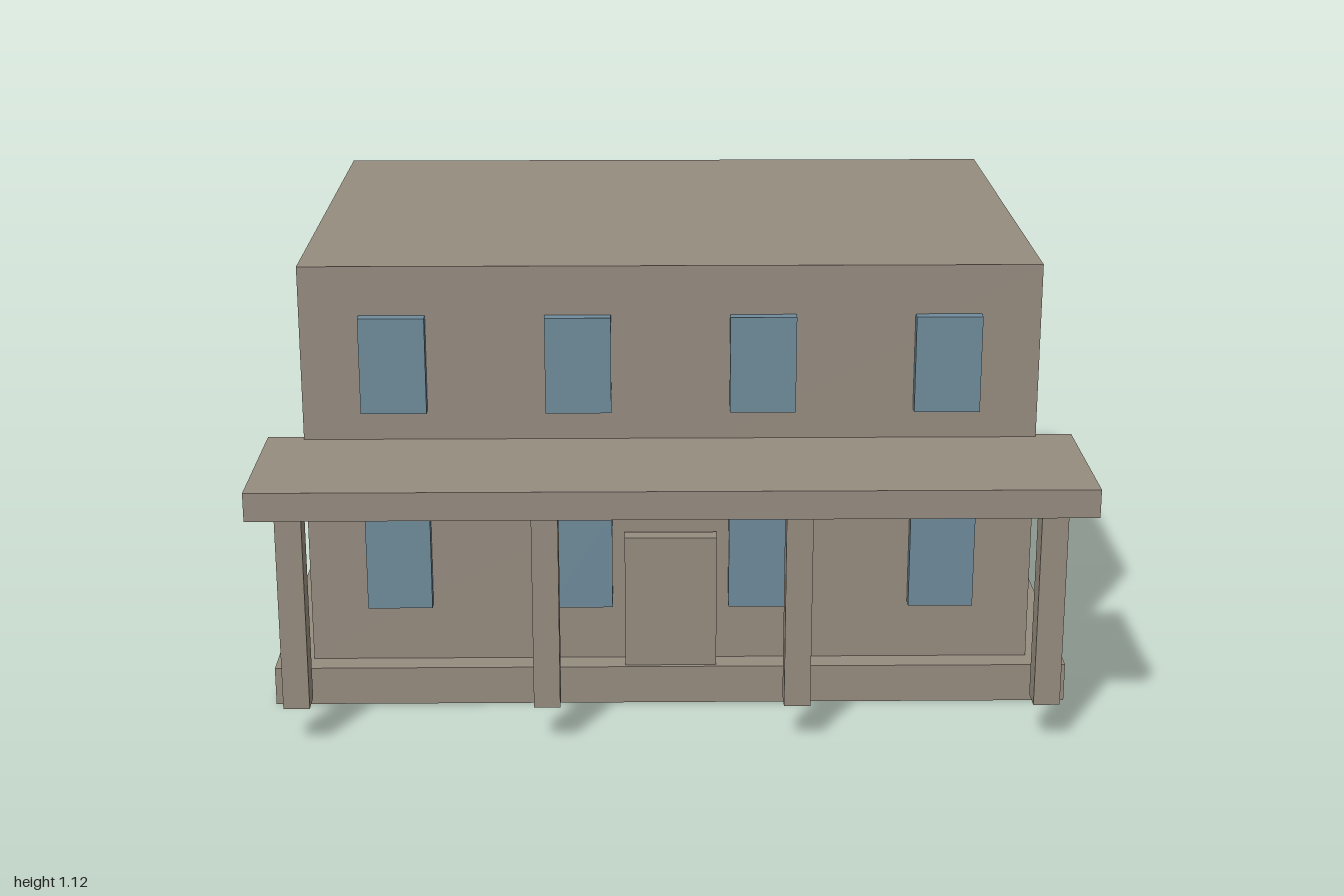
import * as THREE from 'three';

export function createModel() {
  const model = new THREE.Group();
  model.name = 'house';

  const stone = new THREE.MeshStandardMaterial({ color: 0x968c80 });
  stone.name = 'warm grey stone';
  const glass = new THREE.MeshStandardMaterial({ color: 0x6f8b9b });
  glass.name = 'blue grey glass';

  // Box given by its lower and upper limits on each axis
  function block(name, material, [x0, x1], [y0, y1], [z0, z1]) {
    const mesh = new THREE.Mesh(new THREE.BoxGeometry(x1 - x0, y1 - y0, z1 - z0), material);
    mesh.position.set((x0 + x1) / 2, (y0 + y1) / 2, (z0 + z1) / 2);
    mesh.name = name;
    model.add(mesh);
  }

  // Plinth, main body, porch roof and door
  block('foundation', stone, [-1, 1], [0, 0.098], [-0.876, 0.535]);
  block('walls', stone, [-0.908, 0.908], [0.098, 1.125], [-0.813, 0.472]);
  block('porchRoof', stone, [-1, 1], [0.615, 0.685], [0.451, 0.876]);
  block('door', stone, [-0.115, 0.115], [0.098, 0.44], [0.48, 0.524]);

  // Four square porch posts
  for (const x of [-0.912, -0.304, 0.304, 0.912]) {
    block('porchPost', stone, [x - 0.032, x + 0.032], [0.1, 0.615], [0.722, 0.787]);
  }

  // Two rows of four windows, front and back
  for (const x of [-0.681, -0.227, 0.227, 0.681]) {
    for (const y of [0.247, 0.76]) {
      const across = [x - 0.081, x + 0.081];
      block('frontWindow', glass, across, [y, y + 0.242], [0.472, 0.503]);
      block('backWindow', glass, across, [y, y + 0.242], [-0.844, -0.813]);
    }
  }
  return model;
}
